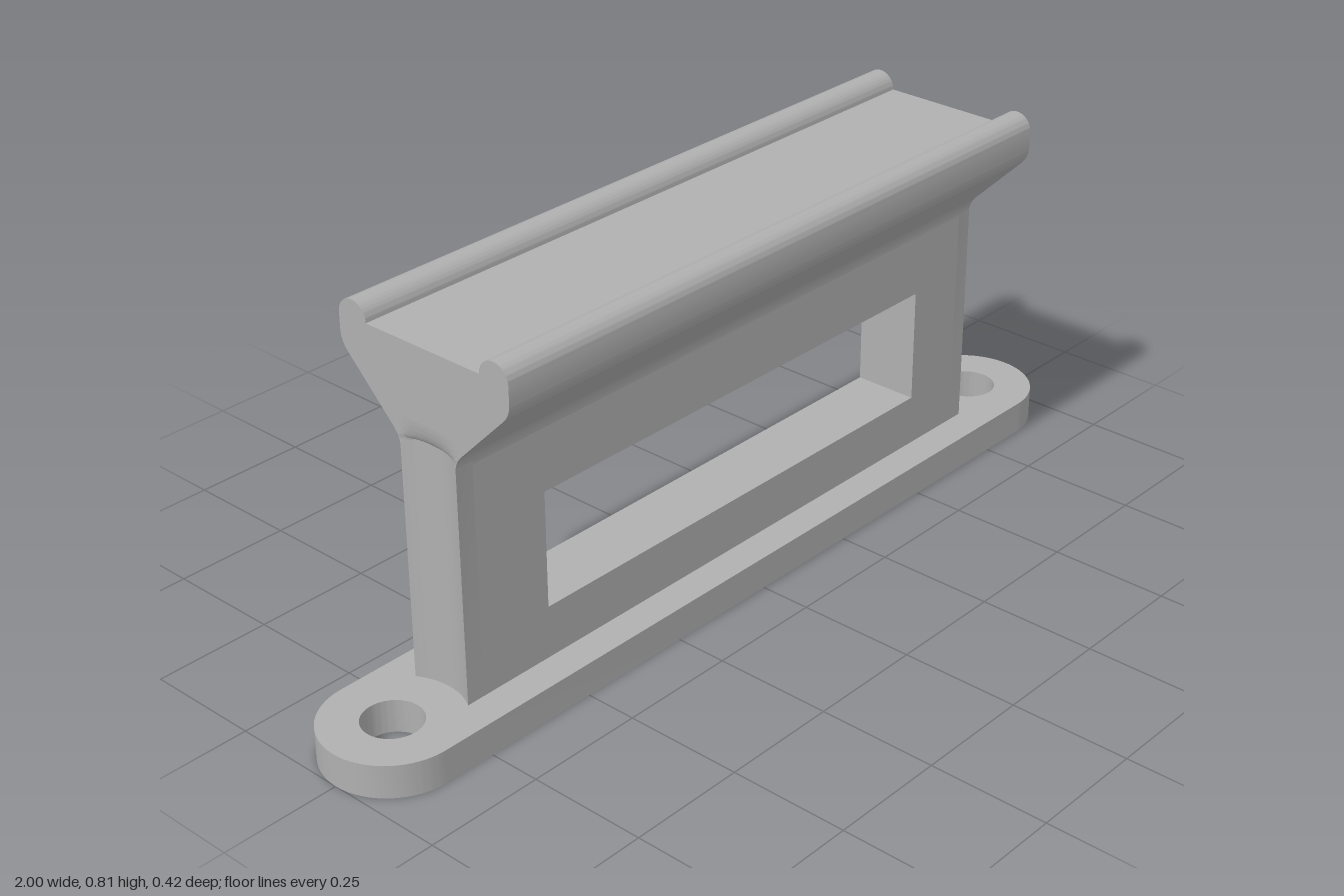
import * as THREE from 'three';
import { toCreasedNormals } from 'three/addons/utils/BufferGeometryUtils.js';

const RIGHT = 0.735, LEFT = 0.74; // distance of each wall end from the centre
const CORE = 0.7;                 // half length of the wall between the scooped ends
const HOLE_X = 0.86, HALF = 0.07; // screw hole position, half wall thickness
const SCOOP_TOP = 0.575, SPLIT = 0.62;

const smooth = (geo) => toCreasedNormals(geo, 0.6);

// Extrude a (z, y) profile along x
function alongX(shape, x0, x1) {
  const geo = new THREE.ExtrudeGeometry(shape, { depth: x1 - x0, bevelEnabled: false, curveSegments: 16 });
  return smooth(geo.rotateY(Math.PI / 2).translate(x0, 0, 0));
}

function rectangle(target, x0, y0, x1, y1) {
  return target.moveTo(x0, y0).lineTo(x1, y0).lineTo(x1, y1).lineTo(x0, y1).lineTo(x0, y0);
}

// Half width of the neck: fillet, then a 45 degree flare
const fillet = new THREE.QuadraticBezierCurve(
  new THREE.Vector2(HALF, 0.555), new THREE.Vector2(HALF, 0.575), new THREE.Vector2(0.086, 0.591));
const neckCurve = [...fillet.getPoints(8), new THREE.Vector2(0.1, 0.605), new THREE.Vector2(0.115, SPLIT)];
function neckWidth(y) {
  for (let i = 1; i < neckCurve.length; i++) {
    const a = neckCurve[i - 1], b = neckCurve[i];
    if (y <= a.y) return a.x;
    if (y <= b.y) return a.x + (b.x - a.x) * (y - a.y) / (b.y - a.y);
  }
  return neckCurve[neckCurve.length - 1].x;
}

// Wall end with a round screwdriver scoop fading out under the head
function scoopedEnd(outer) {
  const r = Math.hypot(HOLE_X - outer, HALF), steps = 24;
  const rows = [0.07, ...neckCurve.slice(0, 5).map((p) => p.y)].filter((y) => y < SCOOP_TOP - 0.002);
  for (let i = 0; i <= 12; i++) rows.push(SCOOP_TOP + (SPLIT - SCOOP_TOP) * (i / 12) ** 2);
  const pos = [], index = [], n = steps + 3;
  rows.forEach((y, j) => {
    const w = neckWidth(y);
    const t = Math.max(0, (y - SCOOP_TOP) / (SPLIT - SCOOP_TOP));
    const fade = (1 - Math.sqrt(t)) ** 1.5;
    pos.push(CORE, y, -w);
    for (let i = 0; i <= steps; i++) {
      const z = w * (2 * i / steps - 1);
      const depth = Math.max(0, outer - HOLE_X + Math.sqrt(Math.max(0, r * r - z * z)));
      pos.push(outer - depth * fade, y, z);
    }
    pos.push(CORE, y, w);
    if (j === 0) return;
    for (let i = 0; i < n - 1; i++) {
      const a = (j - 1) * n + i, b = j * n + i;
      index.push(a, b, a + 1, b, b + 1, a + 1);
    }
  });
  const geo = new THREE.BufferGeometry();
  geo.setAttribute('position', new THREE.Float32BufferAttribute(pos, 3));
  geo.setIndex(index);
  return smooth(geo);
}

export function createModel() {
  const model = new THREE.Group();
  model.name = 'mountingBracket';
  const grey = new THREE.MeshStandardMaterial({ color: 0xb0b0b0 });
  grey.name = 'grey';
  const add = (name, geo) => {
    const mesh = new THREE.Mesh(geo, grey);
    mesh.name = name;
    model.add(mesh);
    return mesh;
  };

  // Base plate with round ends and two screw holes
  const plate = new THREE.Shape();
  plate.absarc(HOLE_X, 0, 0.14, -Math.PI / 2, Math.PI / 2, false);
  plate.absarc(-HOLE_X, 0, 0.14, Math.PI / 2, Math.PI * 1.5, false);
  plate.closePath();
  for (const s of [-1, 1]) {
    plate.holes.push(new THREE.Path().absarc(s * HOLE_X, 0, 0.06, 0, Math.PI * 2, true));
  }
  const base = new THREE.ExtrudeGeometry(plate, { depth: 0.07, bevelEnabled: false, curveSegments: 32 });
  add('basePlate', smooth(base.rotateX(-Math.PI / 2)));

  // Upright wall with a rectangular window
  const wall = rectangle(new THREE.Shape(), -CORE, 0.07, CORE, 0.555);
  wall.holes.push(rectangle(new THREE.Path(), -0.53, 0.18, 0.56, 0.425));
  add('wall', new THREE.ExtrudeGeometry(wall, { depth: HALF * 2, bevelEnabled: false }).translate(0, 0, -HALF));

  // Scooped wall ends
  add('rightEnd', scoopedEnd(RIGHT));
  add('leftEnd', scoopedEnd(LEFT)).rotation.y = Math.PI;

  // Flared neck under the head
  const mirrored = neckCurve.map((p) => new THREE.Vector2(-p.x, p.y)).reverse();
  add('neck', alongX(new THREE.Shape([...neckCurve, ...mirrored]), -CORE, CORE));

  // Cradle head with a rounded lip along each side
  const head = new THREE.Shape();
  head.moveTo(-0.115, SPLIT).lineTo(0.115, SPLIT).lineTo(0.194, 0.699);
  head.quadraticCurveTo(0.211, 0.716, 0.211, 0.738);
  head.lineTo(0.211, 0.772);
  head.absarc(0.176, 0.772, 0.035, 0, Math.PI, false);
  head.lineTo(-0.141, 0.772);
  head.absarc(-0.176, 0.772, 0.035, 0, Math.PI, false);
  head.lineTo(-0.211, 0.738);
  head.quadraticCurveTo(-0.211, 0.716, -0.194, 0.699);
  head.closePath();
  add('cradleHead', alongX(head, -LEFT, RIGHT));

  return model;
}
